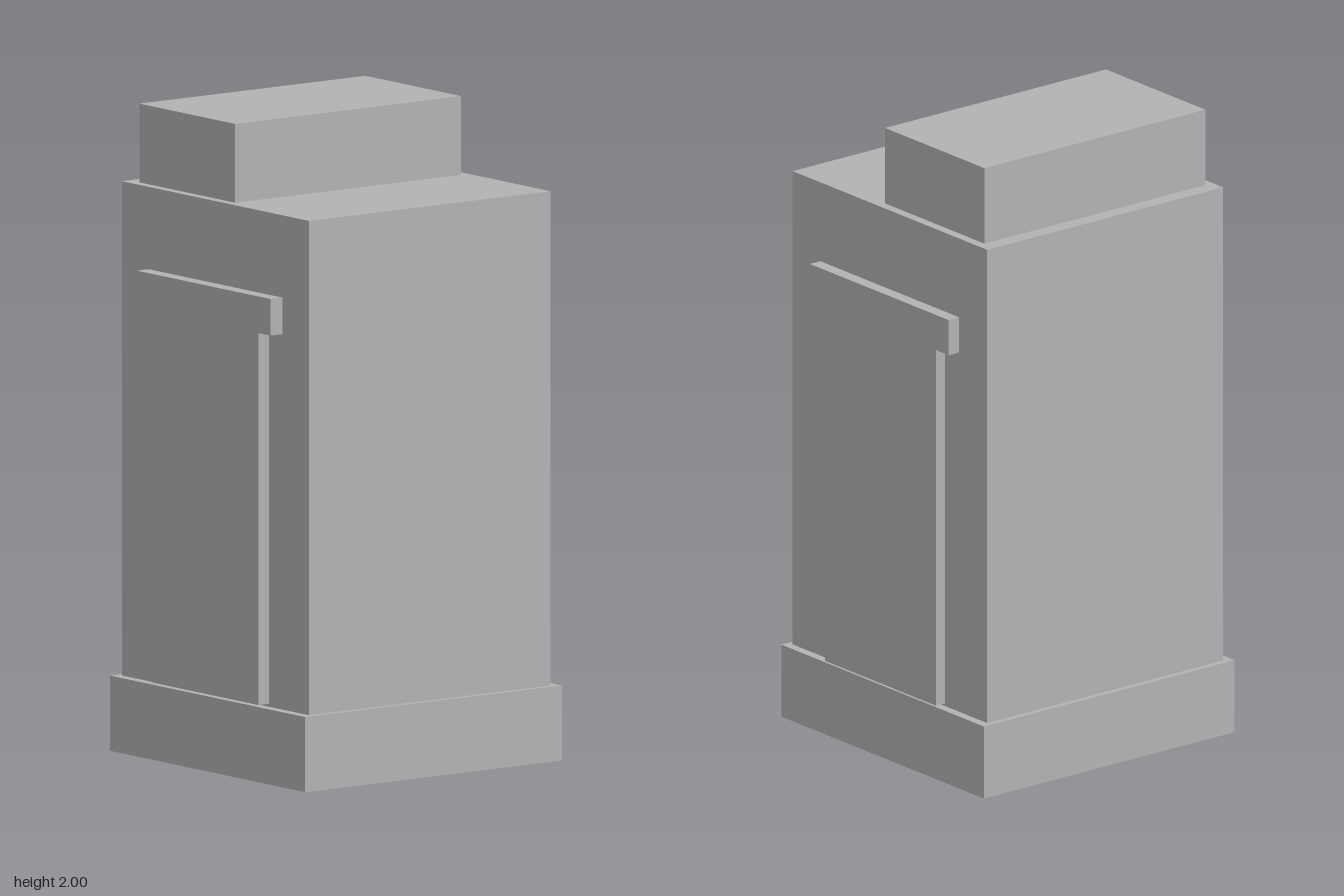
import * as THREE from 'three';

export function createModel() {
  const model = new THREE.Group();
  model.name = 'tower';
  const stone = new THREE.MeshStandardMaterial({ color: 0xb3b3b3 });
  stone.name = 'grey stone';

  // Box given by its lower and upper corners
  function block(name, [x0, y0, z0], [x1, y1, z1], parent = model) {
    const geometry = new THREE.BoxGeometry(x1 - x0, y1 - y0, z1 - z0);
    const mesh = new THREE.Mesh(geometry, stone);
    mesh.position.set((x0 + x1) / 2, (y0 + y1) / 2, (z0 + z1) / 2);
    mesh.name = name;
    parent.add(mesh);
  }

  block('base', [-0.492, 0, -0.492], [0.488, 0.232, 0.49]);
  block('body', [-0.473, 0.232, -0.464], [0.468, 1.757, 0.46]);
  block('roofBlock', [-0.423, 1.757, -0.434], [0.058, 2, 0.431]);

  // Raised panel with a lintel, on the front and the back
  for (const [side, sign] of [['front', 1], ['back', -1]]) {
    const doorway = new THREE.Group();
    doorway.name = side + 'Doorway';
    const span = (depth) => (sign > 0 ? [0.45, depth] : [-depth, -0.45]);
    const [p0, p1] = span(0.5);
    const [l0, l1] = span(0.505);
    block(side + 'Panel', [-0.27, 0.241, p0], [0.266, 1.4, p1], doorway);
    block(side + 'Lintel', [-0.338, 1.39, l0], [0.334, 1.503, l1], doorway);
    model.add(doorway);
  }
  return model;
}
